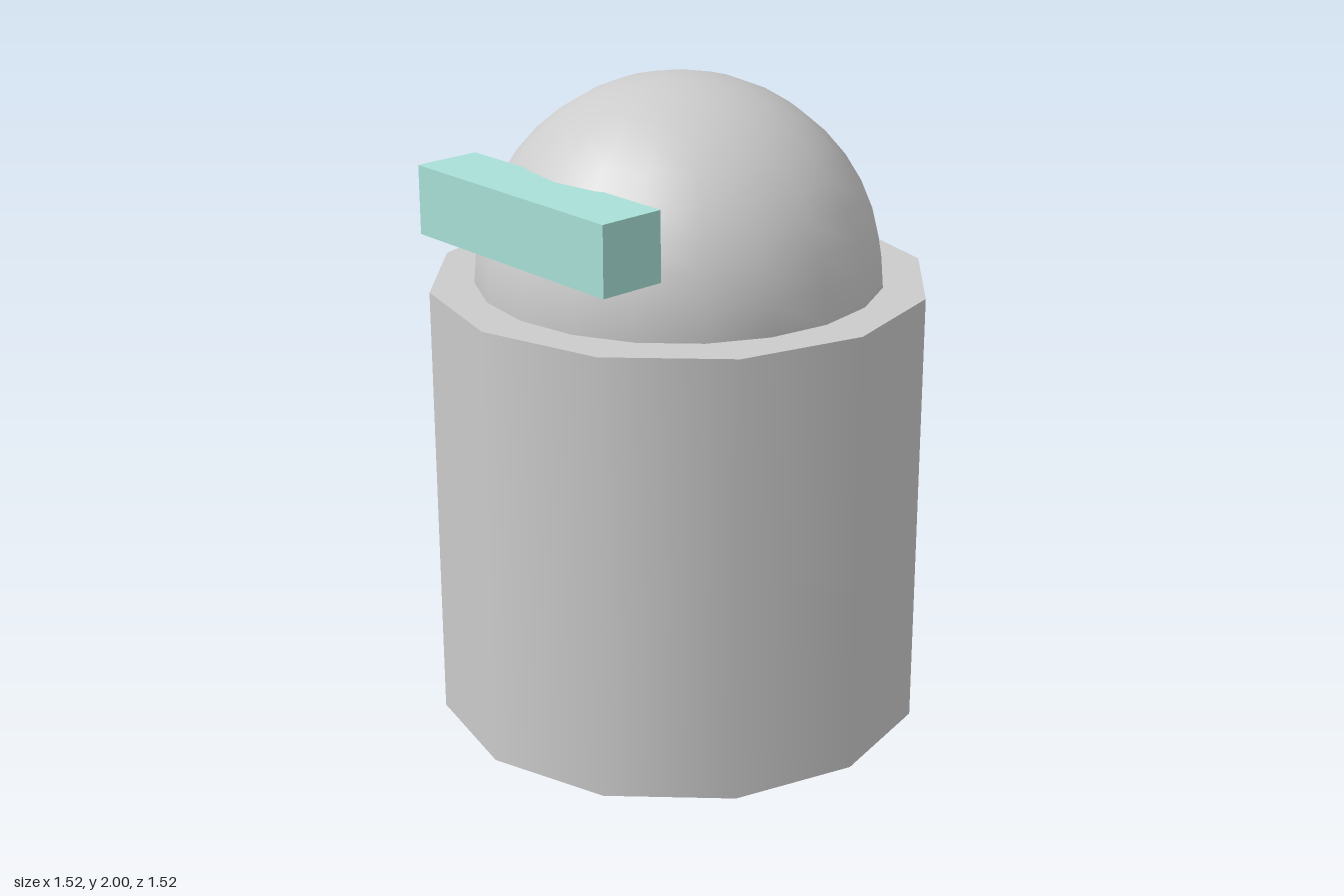
import * as THREE from 'three';

export function createModel() {
  const model = new THREE.Group();
  const grey = new THREE.MeshStandardMaterial({ color: 0xcccccc });
  const teal = new THREE.MeshStandardMaterial({ color: 0xa8e0d8 });

  const add = (name, geometry, material, x, y, z) => {
    const mesh = new THREE.Mesh(geometry, material);
    mesh.name = name;
    mesh.position.set(x, y, z);
    model.add(mesh);
  };

  // Twelve-sided body with smooth shading around its wall
  add('body', new THREE.CylinderGeometry(0.76, 0.76, 1.38, 12), grey, 0, 0.69, 0);

  // Half-sphere head resting on the body
  add('domeHead', new THREE.SphereGeometry(0.62, 20, 10, 0, Math.PI * 2, 0, Math.PI / 2), grey, 0, 1.38, 0);

  // Visor bar across the front of the dome
  add('visor', new THREE.BoxGeometry(0.82, 0.21, 0.21), teal, 0, 1.66, 0.553);

  return model;
}
